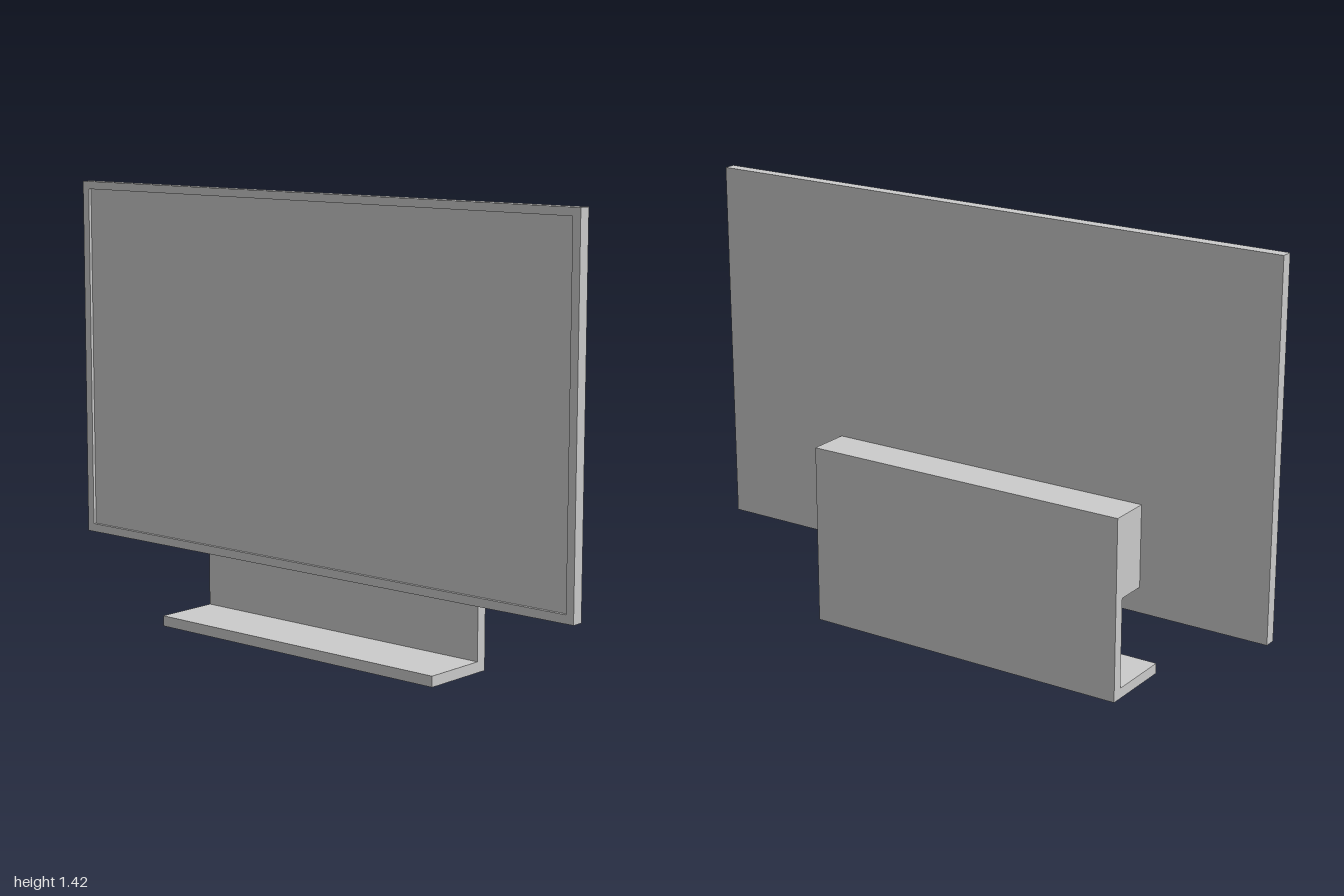
import * as THREE from 'three';

const material = new THREE.MeshStandardMaterial({ color: 0xcccccc, flatShading: true });

function addMesh(group, name, geometry, x, y, z) {
  const mesh = new THREE.Mesh(geometry, material);
  mesh.name = name;
  mesh.position.set(x, y, z);
  group.add(mesh);
  return mesh;
}

// Corner points of a rectangle, counter-clockwise
const rectangle = (x, y0, y1) =>
  [[-x, y0], [x, y0], [x, y1], [-x, y1]].map(([px, py]) => new THREE.Vector2(px, py));

export function createModel() {
  const model = new THREE.Group();
  model.name = 'monitor';

  const bottom = 0.246, top = 1.423, back = 0.012, glass = 0.04, front = 0.05;

  // Flat panel, its front face set slightly back from the bezel
  addMesh(model, 'screenPanel', new THREE.BoxGeometry(2, top - bottom, glass - back),
    0, (top + bottom) / 2, (glass + back) / 2);

  // Thin raised bezel around the screen
  const frame = new THREE.Shape(rectangle(1, bottom, top));
  frame.holes.push(new THREE.Path(rectangle(0.973, 0.273, 1.398)));
  addMesh(model, 'bezel',
    new THREE.ExtrudeGeometry(frame, { depth: front - glass, bevelEnabled: false }), 0, 0, glass);

  // Stand side profile as (z, y): foot, upright and mounting block in one piece
  const profile = [
    [-0.126, 0], [0.127, 0], [0.127, 0.034], [-0.09, 0.034],
    [-0.09, 0.329], [back, 0.329], [back, 0.595], [-0.126, 0.595],
  ].map(([z, y]) => new THREE.Vector2(z, y));
  const stand = new THREE.ExtrudeGeometry(new THREE.Shape(profile), { depth: 1.12, bevelEnabled: false });
  stand.rotateY(-Math.PI / 2);
  addMesh(model, 'stand', stand, 0.553, 0, 0);

  return model;
}
